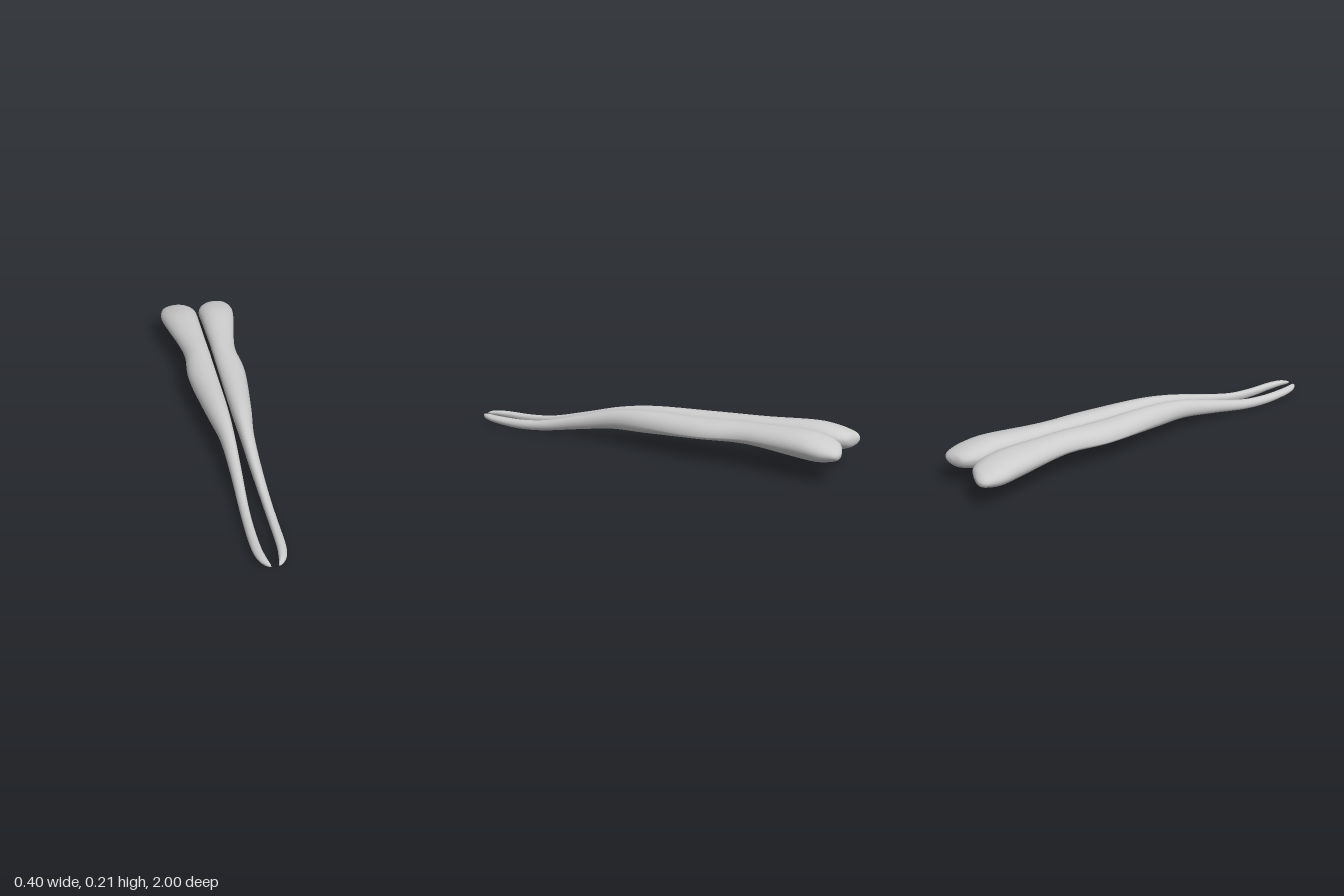
import * as THREE from 'three';

// Cross-sections from back to front: z, inner x, outer x, bottom y, top y
const SECTIONS = [
  [-1.0, 0.13, 0.15, 0.127, 0.142],
  [-0.99, 0.09, 0.173, 0.111, 0.158],
  [-0.965, 0.04, 0.189, 0.098, 0.176],
  [-0.9, 0.01, 0.2, 0.085, 0.197],
  [-0.8, 0.008, 0.187, 0.088, 0.211],
  [-0.6, 0.009, 0.148, 0.104, 0.205],
  [-0.48, 0.008, 0.136, 0.107, 0.202],
  [-0.3, 0.007, 0.147, 0.101, 0.194],
  [0.0, 0.006, 0.113, 0.081, 0.187],
  [0.2, 0.012, 0.083, 0.071, 0.162],
  [0.4, 0.021, 0.075, 0.041, 0.111],
  [0.6, 0.032, 0.076, 0.009, 0.062],
  [0.75, 0.036, 0.078, 0.0, 0.047],
  [0.88, 0.034, 0.076, 0.008, 0.047],
  [0.95, 0.026, 0.063, 0.016, 0.047],
  [0.985, 0.019, 0.042, 0.022, 0.043],
  [1.0, 0.017, 0.023, 0.029, 0.036],
];
const SIDES = 32;
const STEPS = 6; // rings between neighbouring sections

// Smooth interpolation between four neighbouring values
function spline(a, b, c, d, t) {
  const m0 = (c - a) / 2, m1 = (d - b) / 2, t2 = t * t, t3 = t2 * t;
  return (2 * t3 - 3 * t2 + 1) * b + (t3 - 2 * t2 + t) * m0 + (3 * t2 - 2 * t3) * c + (t3 - t2) * m1;
}

function sectionAt(u) {
  const last = SECTIONS.length - 1;
  const i = Math.min(Math.floor(u), last - 1);
  const at = (k) => SECTIONS[Math.max(0, Math.min(last, k))];
  return SECTIONS[i].map((_, n) => spline(at(i - 1)[n], at(i)[n], at(i + 1)[n], at(i + 2)[n], u - i));
}

// One tapering shaft, lofted through lopsided oval sections
function shaftGeometry(side) {
  const positions = [], index = [];
  const rings = (SECTIONS.length - 1) * STEPS + 1;
  const tri = (a, b, c) => (side > 0 ? index.push(a, b, c) : index.push(a, c, b));
  for (let r = 0; r < rings; r++) {
    const [z, xIn, xOut, yLow, yHigh] = sectionAt(r / STEPS);
    const w = xOut - xIn, h = yHigh - yLow;
    // The outer edge droops along the middle of the shaft
    const droop = 0.22 * Math.exp(-(((z + 0.3) / 0.32) ** 2));
    const yOut = yLow + h * (0.5 - droop), yIn = yLow + h * 0.6;
    const xTop = xIn + w * 0.4, xLow = xIn + w * 0.48;
    for (let s = 0; s < SIDES; s++) {
      const a = (s / SIDES) * Math.PI * 2, c = Math.cos(a), n = Math.sin(a);
      const xMid = n > 0 ? xTop : xLow, yMid = c > 0 ? yOut : yIn;
      const x = xMid + c * (c > 0 ? xOut - xMid : xMid - xIn);
      const y = yMid + n * (n > 0 ? yHigh - yMid : yMid - yLow);
      positions.push(side * x, y, z);
      if (r < rings - 1) {
        const p = r * SIDES + s, q = r * SIDES + ((s + 1) % SIDES);
        tri(p, q, q + SIDES);
        tri(p, q + SIDES, p + SIDES);
      }
    }
  }
  // Close both ends
  const front = (rings - 1) * SIDES;
  for (let s = 1; s < SIDES - 1; s++) {
    tri(0, s + 1, s);
    tri(front, front + s, front + s + 1);
  }
  const geometry = new THREE.BufferGeometry();
  geometry.setAttribute('position', new THREE.Float32BufferAttribute(positions, 3));
  geometry.setIndex(index);
  geometry.computeVertexNormals();
  return geometry;
}

export function createModel() {
  const model = new THREE.Group();
  model.name = 'pairedBones';
  const bone = new THREE.MeshStandardMaterial({ color: 0xcccccc });
  bone.name = 'light grey bone';
  for (const side of [1, -1]) {
    const shaft = new THREE.Mesh(shaftGeometry(side), bone);
    shaft.name = side > 0 ? 'leftBone' : 'rightBone';
    model.add(shaft);
  }
  return model;
}
